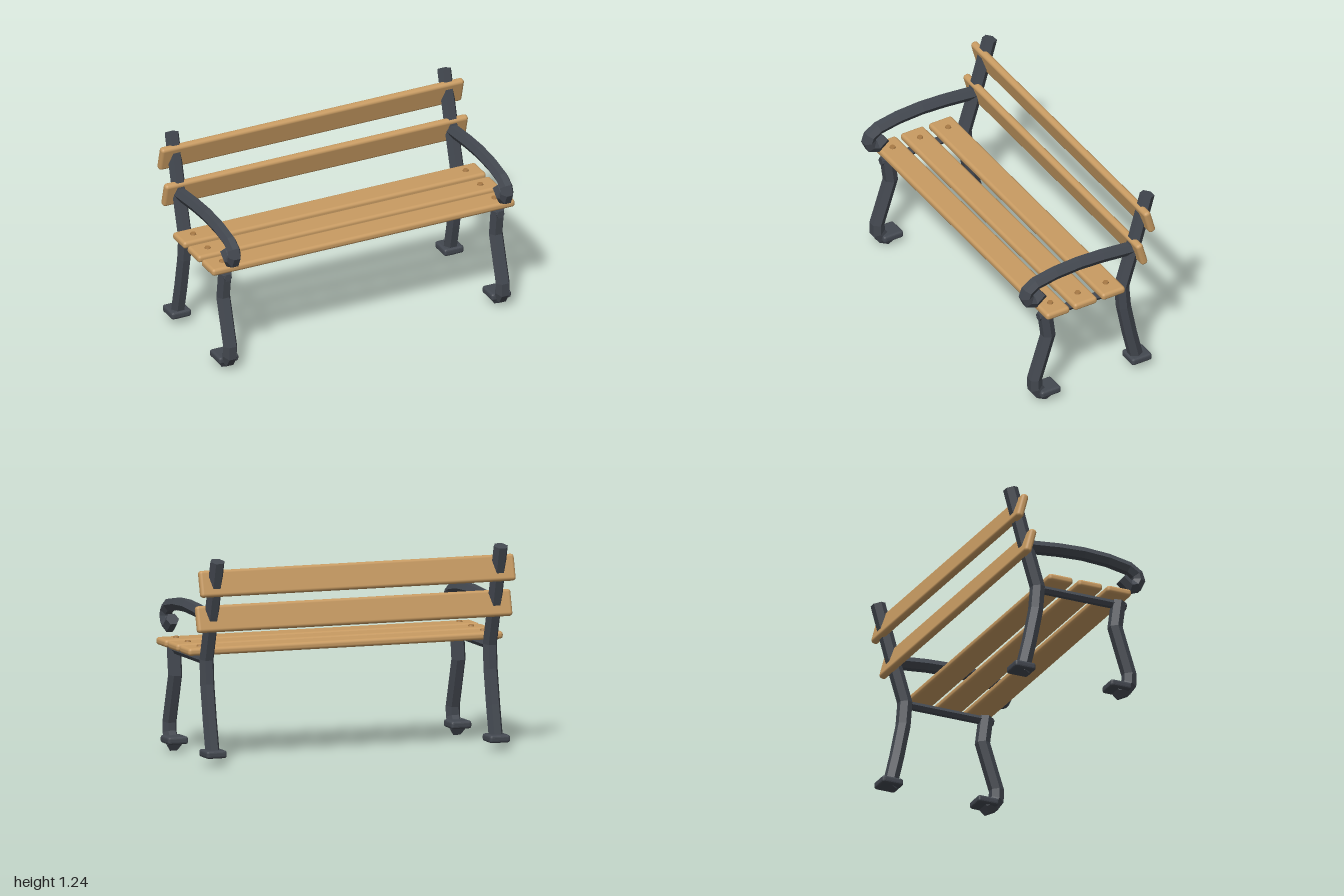
import * as THREE from 'three';
import { RoundedBoxGeometry } from 'three/addons/geometries/RoundedBoxGeometry.js';

const iron = new THREE.MeshStandardMaterial({ color: 0x434850, flatShading: true });
iron.name = 'castIron';
const wood = new THREE.MeshStandardMaterial({ color: 0xc89b62 });
wood.name = 'wood';
const bolt = new THREE.MeshStandardMaterial({ color: 0xa87a45 });
bolt.name = 'boltBrown';

// Hexagonal bar swept along [z, y] points, mitred at the bends and capped
function hexBar(path, r) {
  const pts = path.map(([z, y]) => new THREE.Vector3(0, y, z));
  const n = pts.length, pos = [], idx = [];
  const xAxis = new THREE.Vector3(1, 0, 0);
  pts.forEach((p, i) => {
    const before = p.clone().sub(pts[Math.max(i - 1, 0)]).normalize();
    const after = pts[Math.min(i + 1, n - 1)].clone().sub(p).normalize();
    const t = before.clone().add(after).normalize();
    const mitre = 1 / Math.max(0.75, t.dot(i ? before : after));
    const v = t.clone().cross(xAxis);
    for (let j = 0; j < 6; j++) {
      const a = j * Math.PI / 3;
      const q = p.clone().addScaledVector(v, r * mitre * Math.sin(a));
      pos.push(r * Math.cos(a), q.y, q.z);
    }
  });
  for (let i = 0; i < n - 1; i++) {
    for (let j = 0; j < 6; j++) {
      const a = i * 6 + j, b = i * 6 + (j + 1) % 6;
      idx.push(a, b, a + 6, b, b + 6, a + 6);
    }
  }
  const e = (n - 1) * 6;
  for (let j = 1; j < 5; j++) idx.push(0, j + 1, j, e, e + j, e + j + 1);
  const g = new THREE.BufferGeometry();
  g.setAttribute('position', new THREE.Float32BufferAttribute(pos, 3));
  g.setIndex(idx);
  g.computeVertexNormals();
  return g;
}

function add(parent, name, geometry, material, x = 0, y = 0, z = 0) {
  const m = new THREE.Mesh(geometry, material);
  m.name = name;
  m.position.set(x, y, z);
  parent.add(m);
  return m;
}

export function createModel() {
  const bench = new THREE.Group();
  bench.name = 'bench';

  const post = hexBar([[-0.343, 0.035], [-0.293, 0.25], [-0.252, 0.46], [-0.24, 0.61],
    [-0.322, 0.88], [-0.417, 1.217]], 0.045);
  const frontLeg = hexBar([[0.292, 0.62], [0.27, 0.45], [0.322, 0.285], [0.362, 0.16],
    [0.36, 0.095], [0.333, 0.055], [0.278, 0.026]], 0.045);
  const arm = hexBar([[-0.31, 0.861], [-0.1, 0.882], [0.06, 0.889], [0.22, 0.88], [0.355, 0.855],
    [0.41, 0.82], [0.422, 0.785], [0.405, 0.748], [0.365, 0.733], [0.312, 0.776]], 0.041);
  const rail = hexBar([[0.337, 0.6], [-0.24, 0.6]], 0.026);
  const foot = new RoundedBoxGeometry(0.13, 0.046, 0.137, 2, 0.015);
  const boltHead = new THREE.CylinderGeometry(0.016, 0.02, 0.012, 12);
  const slat = new RoundedBoxGeometry(2, 0.046, 0.16, 3, 0.019);

  // Iron end frames
  for (const s of [-1, 1]) {
    const frame = new THREE.Group();
    frame.name = s > 0 ? 'leftFrame' : 'rightFrame';
    frame.position.x = s * 0.9;
    bench.add(frame);
    add(frame, 'backPost', post, iron);
    add(frame, 'frontLeg', frontLeg, iron);
    add(frame, 'armrest', arm, iron);
    add(frame, 'seatRail', rail, iron);
    add(frame, 'frontFoot', foot, iron, 0, 0.06, 0.283);
    add(frame, 'backFoot', foot, iron, 0, 0.06, -0.346);
  }

  // Seat slats with bolt heads
  for (const z of [0.254, 0.064, -0.13]) {
    add(bench, 'seatSlat', slat, wood, 0, 0.65, z);
    for (const x of [-0.9, 0.9]) add(bench, 'boltHead', boltHead, bolt, x, 0.676, z);
  }

  // Back slats, tilted with the posts
  for (const [y, z] of [[1.08, -0.38], [0.862, -0.327]]) {
    const m = add(bench, 'backSlat', slat, wood, 0, y, z);
    m.rotation.x = Math.PI / 2 - 0.26;
    m.rotation.x = Math.PI / 2 + 0.0 - 0.26;
    m.rotation.x = -(Math.PI / 2 + 0.26) + Math.PI + 0.52;
  }
  return bench;
}
